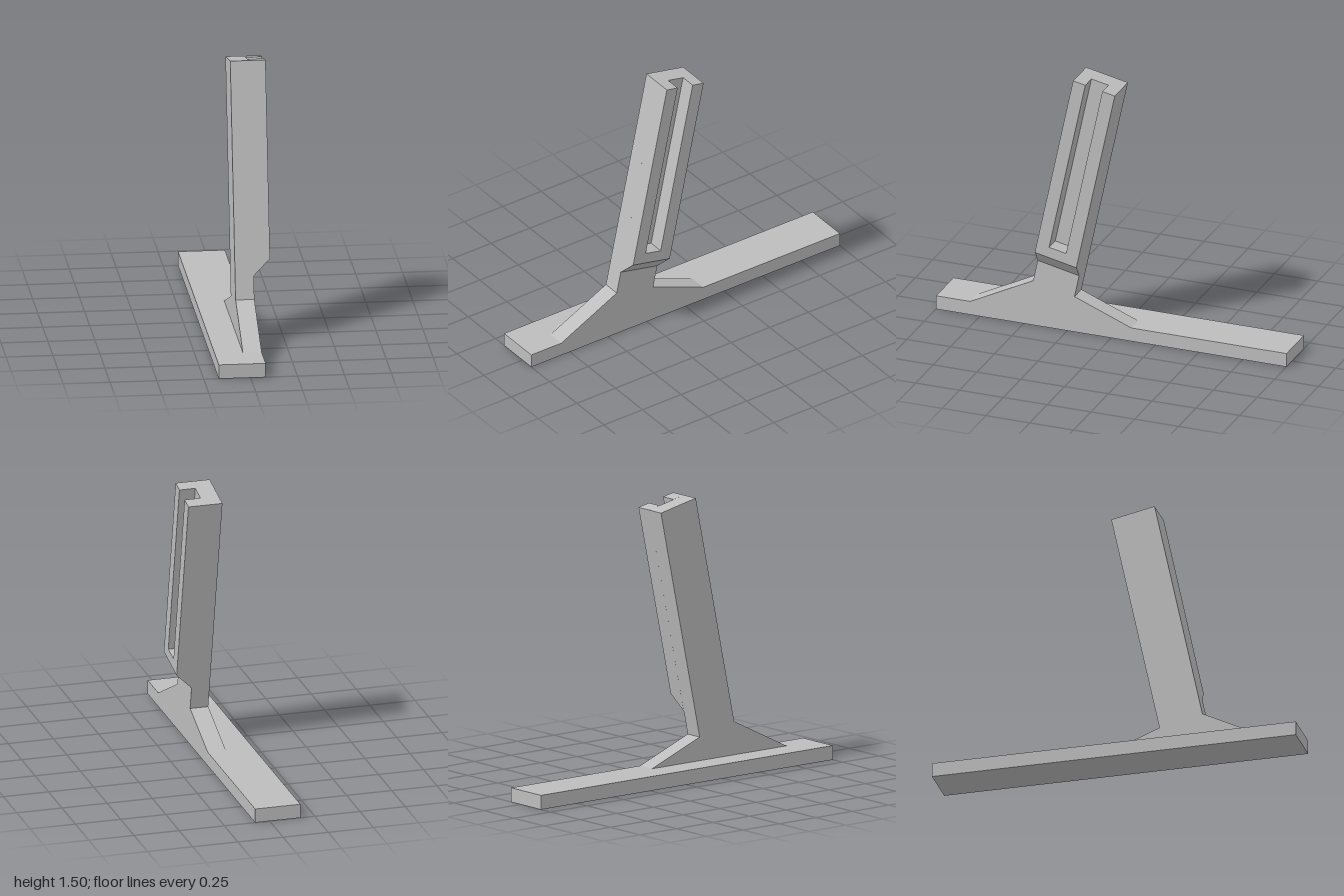
import * as THREE from 'three';

const grey = new THREE.MeshStandardMaterial({ color: 0xbdbdbd });
grey.name = 'plain grey';

// Extrudes a side outline of [z, y] points between x0 and x1
function sidePlate(points, x0, x1) {
  const shape = new THREE.Shape(points.map(([z, y]) => new THREE.Vector2(z, y)));
  const geo = new THREE.ExtrudeGeometry(shape, { depth: x1 - x0, bevelEnabled: false });
  geo.rotateY(-Math.PI / 2);
  geo.translate(x1, 0, 0);
  return geo;
}

function addPart(group, name, geo) {
  const mesh = new THREE.Mesh(geo, grey);
  mesh.name = name;
  group.add(mesh);
}

export function createModel() {
  const group = new THREE.Group();
  group.name = 'leaningStand';

  const baseTop = 0.077, inner = 0.08, outer = 0.168;

  // Long flat foot
  const base = new THREE.BoxGeometry(0.25, baseTop, 2);
  base.translate(-0.045, baseTop / 2, 0);
  addPart(group, 'base', base);

  // Leaning spine with its sloping gussets
  addPart(group, 'spine', sidePlate([
    [0.805, baseTop], [0.446, 0.258], [0.183, 1.504], [-0.055, 1.455],
    [0.21, 0.205], [-0.115, baseTop],
  ], -0.02, inner));

  // Thick upper side of the post, with a groove open at the top
  const rails = sidePlate([
    [0.42, 0.381], [0.183, 1.504], [0.113, 1.49], [0.32, 0.511],
    [0.223, 0.491], [0.016, 1.47], [-0.055, 1.455], [0.183, 0.331],
  ], inner, outer);

  // Slope the lower end by sliding its outer edge up along the post
  const p = rails.attributes.position;
  for (let i = 0; i < p.count; i++) {
    if (p.getX(i) > 0.12 && p.getY(i) < 0.45) {
      p.setY(i, p.getY(i) + 0.087);
      p.setZ(i, p.getZ(i) - 0.0185);
    }
  }
  rails.computeVertexNormals();
  addPart(group, 'groovedRail', rails);

  return group;
}
